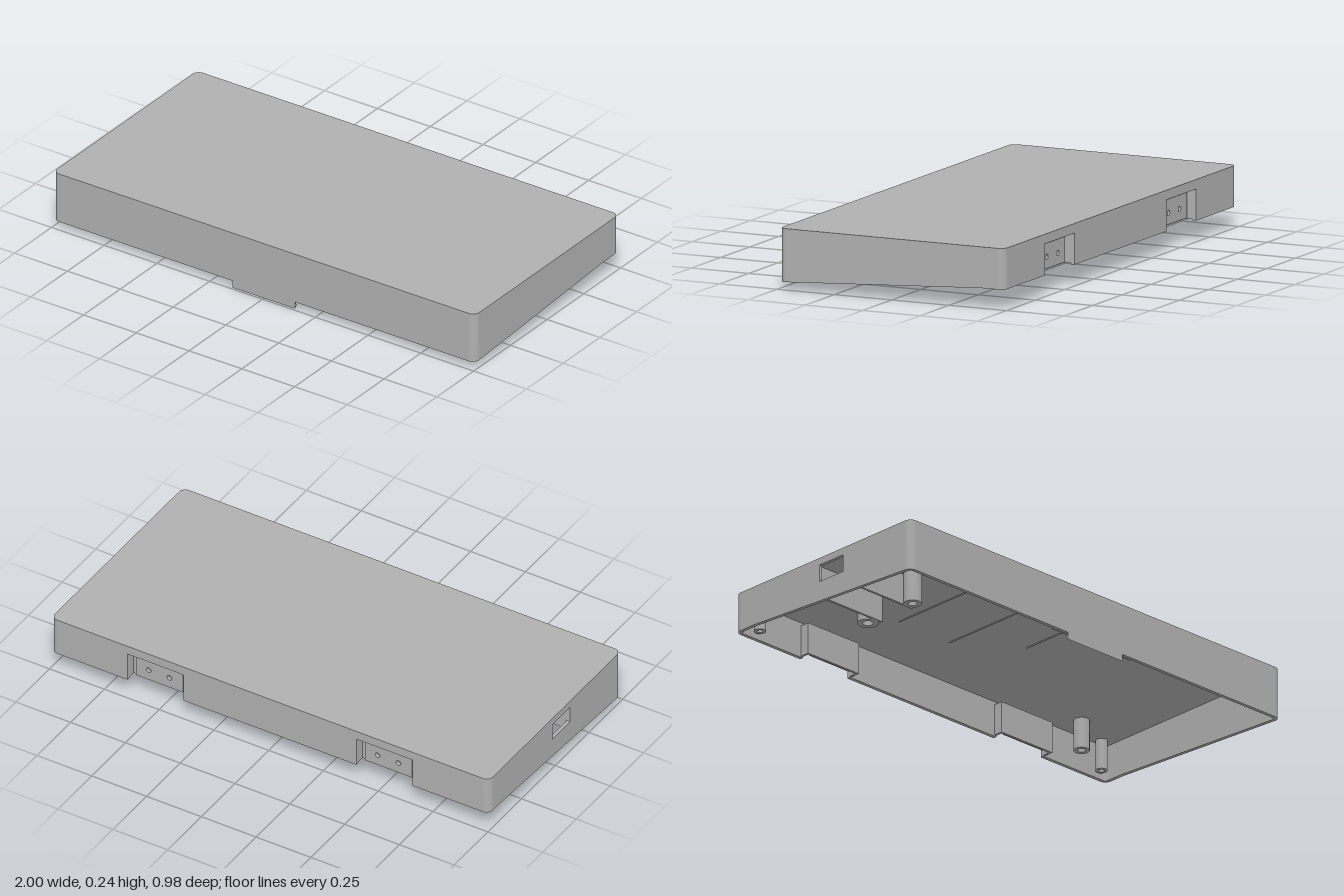
import * as THREE from 'three';
import { toCreasedNormals } from 'three/addons/utils/BufferGeometryUtils.js';

const grey = new THREE.MeshStandardMaterial({ color: 0xb0b0b0 });
grey.name = 'greyPlastic';

const X = 1, Z = 0.49;            // half width and half depth
const TOP = 0.243, CEIL = 0.228;  // outer top and inner ceiling
const T = 0.015, R = 0.03;        // wall thickness, corner radius
const rim = z => (z < -0.39 ? 0.08 : 0.08 - ((z + 0.39) / 0.88) * 0.05);

const polygon = pts => new THREE.Shape(pts.map(p => new THREE.Vector2(...p)));
const extrude = (shape, depth) =>
  new THREE.ExtrudeGeometry(shape, { depth, bevelEnabled: false, curveSegments: 10 });

export function createModel() {
  const model = new THREE.Group();
  const add = (name, geometry, x = 0, y = 0, z = 0) => {
    const mesh = new THREE.Mesh(geometry, grey);
    mesh.name = name;
    mesh.position.set(x, y, z);
    model.add(mesh);
    return mesh;
  };
  // box given by its limits
  const box = (name, x0, x1, y0, y1, z0, z1) =>
    add(name, new THREE.BoxGeometry(x1 - x0, y1 - y0, z1 - z0),
      (x0 + x1) / 2, (y0 + y1) / 2, (z0 + z1) / 2);

  // Top panel with rounded corners
  const roof = new THREE.Shape();
  roof.absarc(X - R, Z - R, R, 0, Math.PI / 2);
  roof.absarc(-X + R, Z - R, R, Math.PI / 2, Math.PI);
  roof.absarc(-X + R, -Z + R, R, Math.PI, Math.PI * 1.5);
  roof.absarc(X - R, -Z + R, R, Math.PI * 1.5, Math.PI * 2);
  add('topPanel', toCreasedNormals(extrude(roof, TOP - CEIL).rotateX(Math.PI / 2), 0.6), 0, TOP, 0);

  // Rounded wall corners, cut at the sloping rim
  for (const sx of [1, -1]) for (const sz of [1, -1]) {
    const a = sx > 0 ? (sz > 0 ? 0 : 1.5) : (sz > 0 ? 0.5 : 1);
    const a0 = a * Math.PI, a1 = a0 + Math.PI / 2;
    const cx = sx * (X - R), cz = sz * (Z - R);
    const s = new THREE.Shape();
    s.absarc(cx, cz, R, a0, a1, false);
    s.absarc(cx, cz, R - T, a1, a0, true);
    const g = extrude(s, 0.15).rotateX(Math.PI / 2).translate(0, CEIL, 0);
    const p = g.attributes.position;
    for (let i = 0; i < p.count; i++) if (p.getY(i) < 0.15) p.setY(i, rim(p.getZ(i)));
    add('wallCorner', toCreasedNormals(g, 0.6));
  }

  // Side walls with sloping lower edge; the right-hand one has a port
  for (const side of [1, -1]) {
    const zf = Z - R;
    const s = polygon([[-zf, rim(-zf)], [-0.39, 0.08], [zf, rim(zf)], [zf, CEIL], [-zf, CEIL]]);
    if (side < 0) {
      s.holes.push(new THREE.Path([[-0.02, 0.142], [-0.02, 0.213], [0.112, 0.213], [0.112, 0.142]]
        .map(p => new THREE.Vector2(...p))));
    }
    add('sideWall', extrude(s, T).rotateY(-Math.PI / 2), side > 0 ? X : -X + T, 0, 0);
  }

  // Front wall
  box('frontWall', -X + R, X - R, rim(Z), CEIL, Z - T, Z);

  // Back wall with two notches
  const N0 = 0.395, N1 = 0.65, NY = 0.205;
  add('backWall', extrude(polygon([
    [-X + R, 0.08], [-N1, 0.08], [-N1, NY], [-N0, NY], [-N0, 0.08],
    [N0, 0.08], [N0, NY], [N1, NY], [N1, 0.08], [X - R, 0.08], [X - R, CEIL], [-X + R, CEIL],
  ]), T), 0, 0, -Z);

  // Mounting pockets behind the notches, each with a drilled plate
  for (const c of [0.5225, -0.5225]) {
    const h = (N1 - N0) / 2;
    for (const s of [1, -1]) {
      const x = c + s * (h + 0.005);
      box('pocketSide', x - 0.005, x + 0.005, 0.085, NY + 0.01, -Z + T, -0.435);
    }
    box('pocketTop', c - h, c + h, NY, NY + 0.01, -Z + T, -0.435);
    box('pocketBack', c - h, c + h, 0.085, NY, -0.445, -0.435);
    const plate = polygon([[-0.107, 0.092], [0.107, 0.092], [0.107, 0.192], [-0.107, 0.192]]);
    for (const hx of [-0.045, 0.05]) {
      const hole = new THREE.Path();
      hole.absarc(hx, 0.138, 0.011, 0, Math.PI * 2, true);
      plate.holes.push(hole);
    }
    add('mountingPlate', extrude(plate, 0.015), c, 0, -0.46);
  }

  // Front latch: backing plate, hooked lip and grip teeth
  box('latchPlate', -0.21, 0.21, rim(Z) + 0.003, 0.145, Z - T - 0.012, Z - T);
  const hook = polygon([[0.49, 0.035], [0.483, 0.035], [0.484, 0.021], [0.478, 0.013], [0.49, 0]]);
  add('latchLip', extrude(hook, 0.295).rotateY(-Math.PI / 2), 0.147, 0, 0);
  for (let i = 0; i < 10; i++) {
    const x = -0.13 + i * 0.029;
    box('latchTooth', x - 0.004, x + 0.004, 0.022, 0.036, 0.476, 0.484);
  }
  for (const x of [0.26, -0.6]) box('snapRidge', x - 0.04, x + 0.04, 0.09, 0.098, 0.468, Z - T);

  // Hollow screw posts hanging from the ceiling
  const post = (name, x, z, r, bottom, fins) => {
    const profile = [[r * 0.5, CEIL], [r * 0.5, bottom], [r, bottom], [r, CEIL]];
    const g = new THREE.LatheGeometry(profile.map(p => new THREE.Vector2(...p)), 20);
    add(name, toCreasedNormals(g, 0.6), x, 0, z);
    if (!fins) return;
    for (const s of [1, -1]) {
      const a = x + s * r * 0.85, b = x + s * r * 1.6;
      box('postFin', Math.min(a, b), Math.max(a, b), bottom + 0.02, CEIL, z - 0.005, z + 0.005);
      const c = z + s * r * 0.85, d = z + s * r * 1.6;
      box('postFin', x - 0.005, x + 0.005, bottom + 0.02, CEIL, Math.min(c, d), Math.max(c, d));
    }
  };
  post('screwPost', 0.755, 0.415, 0.034, 0.1, true);
  post('screwPost', -0.895, 0.4, 0.034, 0.1, true);
  post('screwPost', 0.75, -0.365, 0.032, 0.1, false);
  post('screwPost', -0.66, 0.15, 0.036, 0.1, false);
  post('screwPost', -0.66, -0.1, 0.042, 0.1, false);
  for (const [x, z] of [[0.93, 0.415], [0.935, -0.445], [-0.91, -0.445]]) {
    post('cornerBoss', x, z, 0.024, 0.1, false);
  }

  // Guide ribs either side of the port, and thin ceiling ribs
  for (const z of [0.118, -0.055]) box('guideRib', -X + T, -0.63, 0.1, CEIL, z - 0.005, z + 0.005);
  for (const [x, z0] of [[0.13, -0.03], [-0.12, -0.2], [-0.395, -0.2]]) {
    box('ceilingRib', x - 0.002, x + 0.002, CEIL - 0.004, CEIL, z0, 0.36);
  }

  return model;
}
